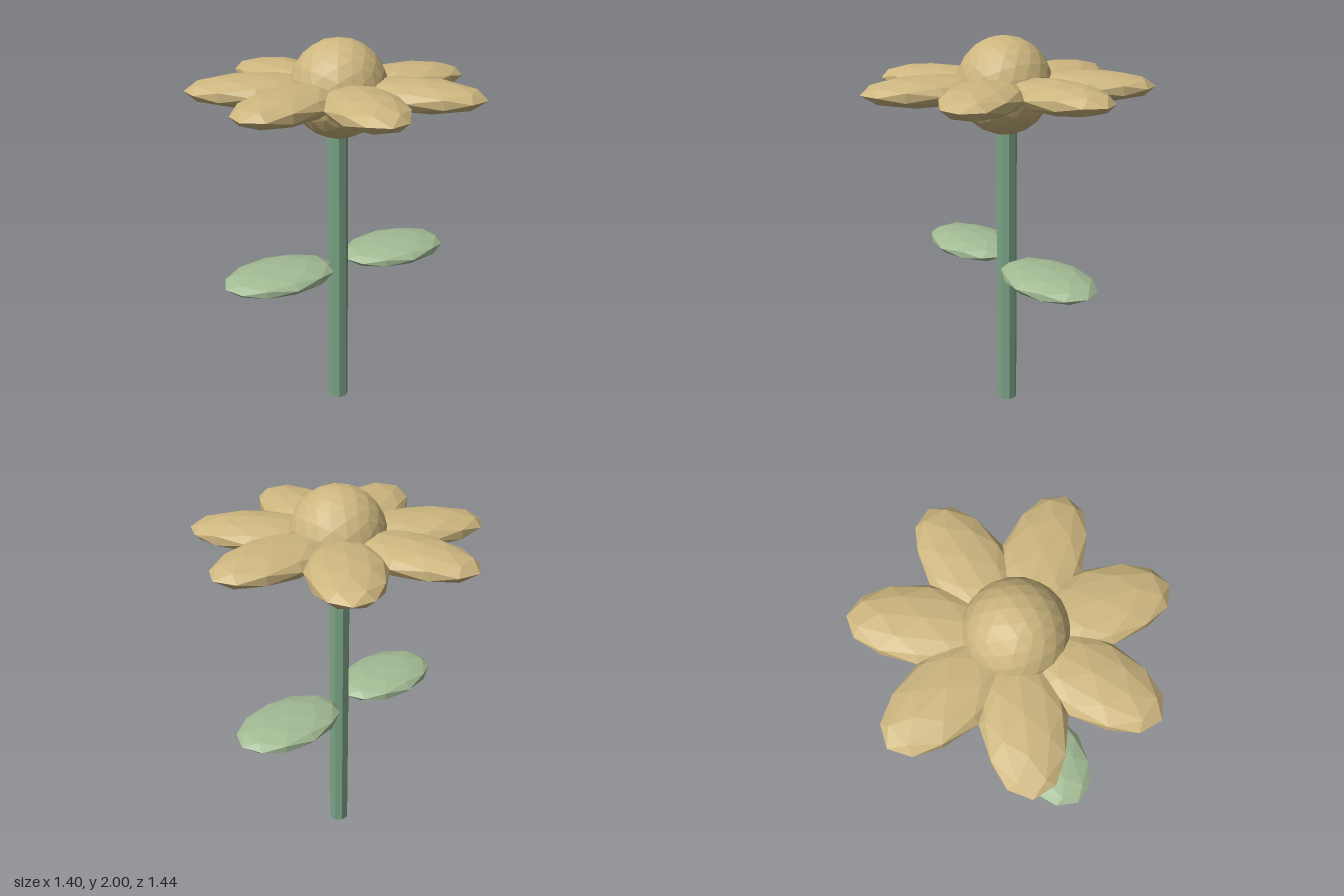
import * as THREE from 'three';

const mat = (name, color) => {
  const m = new THREE.MeshStandardMaterial({ color, flatShading: true });
  m.name = name;
  return m;
};

export function createModel() {
  const flower = new THREE.Group();
  flower.name = 'flower';
  const tan = mat('petal tan', 0xcdb67f);
  const leafGreen = mat('leaf green', 0xa3bb94);
  const stemGreen = mat('stem green', 0x7aa285);

  const stemX = -0.04;
  const headY = 1.756;

  // Faceted ellipsoid with the given half sizes
  const blob = (name, material, detail, sx, sy, sz) => {
    const mesh = new THREE.Mesh(new THREE.IcosahedronGeometry(1, detail), material);
    mesh.scale.set(sx, sy, sz);
    mesh.name = name;
    return mesh;
  };

  // Straight octagonal stem reaching into the flower head
  const stem = new THREE.Mesh(new THREE.CylinderGeometry(0.053, 0.053, 1.6, 8), stemGreen);
  stem.name = 'stem';
  stem.rotation.y = Math.PI / 8;
  stem.position.set(stemX, 0.8, 0);
  flower.add(stem);

  // Two flat leaves, one on each side of the stem
  for (const [name, x] of [['leftLeaf', 0.308], ['rightLeaf', -0.382]]) {
    const leaf = blob(name, leafGreen, 1, 0.302, 0.059, 0.2);
    leaf.position.set(x, 0.828, 0);
    flower.add(leaf);
  }

  // Round centre
  const centre = blob('flowerCentre', tan, 3, 0.24, 0.244, 0.24);
  centre.position.set(stemX, headY, 0.014);
  flower.add(centre);

  // Ring of seven petals
  const petals = new THREE.Group();
  petals.name = 'petals';
  petals.position.set(stemX, headY, 0);
  for (let i = 0; i < 7; i++) {
    const angle = (i / 7) * Math.PI * 2;
    const petal = blob('petal' + (i + 1), tan, 1, 0.345, 0.075, 0.19);
    petal.position.set(Math.cos(angle) * 0.392, 0, -Math.sin(angle) * 0.392);
    petal.rotation.y = angle;
    petals.add(petal);
  }
  flower.add(petals);

  return flower;
}
